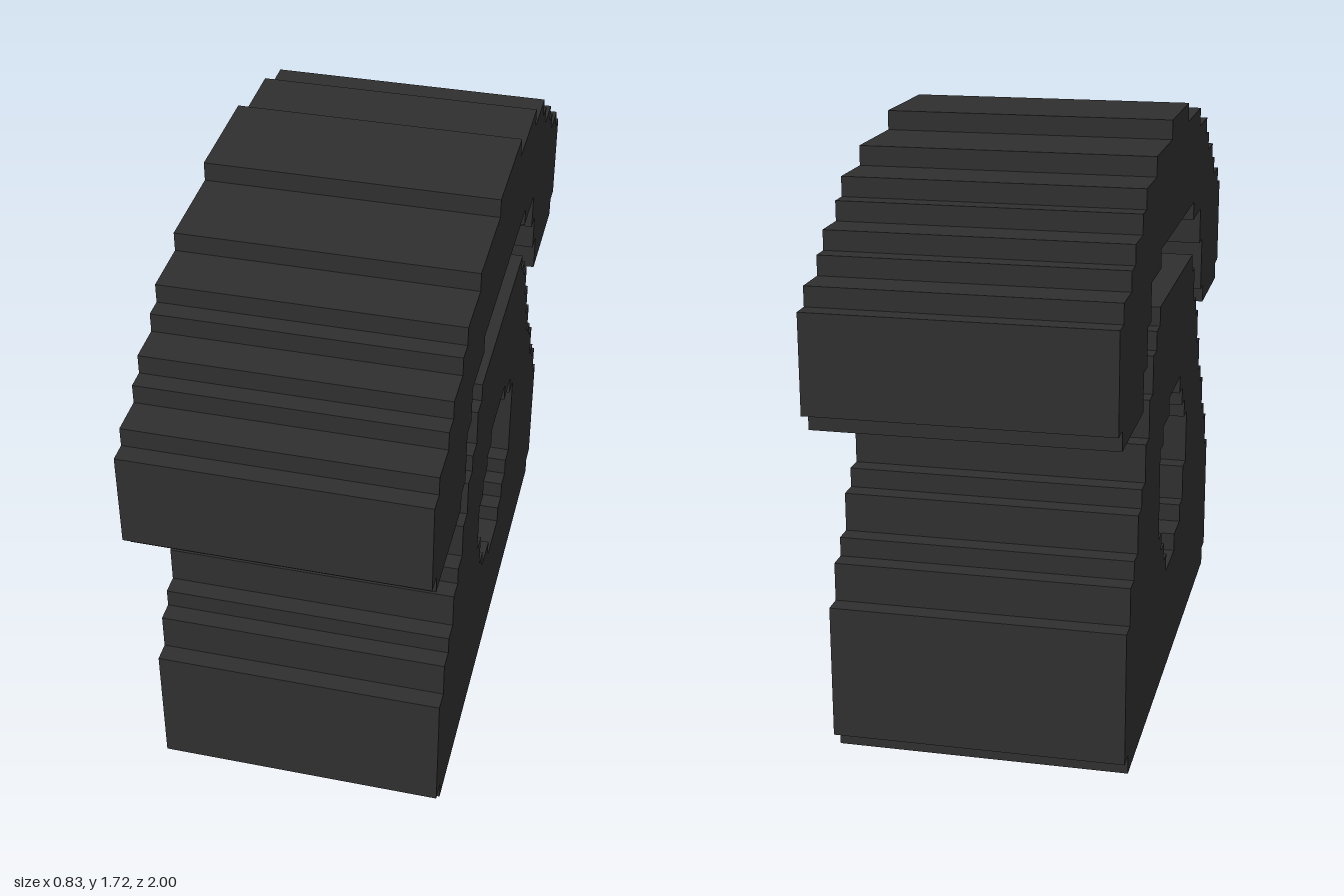
import * as THREE from 'three';

const CELL = 1 / 18;      // size of one stair step
const WIDTH = 15 * CELL;  // thickness of the whole model

// Stepped outline: a start corner, then alternating horizontal and vertical moves to the given grid lines
function staircase(Type, [u0, v0, ...moves]) {
  const path = new Type();
  let u = u0, v = v0;
  path.moveTo(u * CELL - 1, v * CELL);
  moves.forEach((line, i) => {
    if (i % 2) v = line; else u = line;
    path.lineTo(u * CELL - 1, v * CELL);
  });
  path.closePath();
  return path;
}

// Extrude a side profile across the width, turned so the profile runs along z
function slab(name, shape, material) {
  const geometry = new THREE.ExtrudeGeometry(shape, { depth: WIDTH, bevelEnabled: false });
  geometry.translate(0, 0, -WIDTH / 2).rotateY(Math.PI / 2);
  const mesh = new THREE.Mesh(geometry, material);
  mesh.name = name;
  return mesh;
}

export function createModel() {
  const group = new THREE.Group();
  group.name = 'telephone';
  const charcoal = new THREE.MeshStandardMaterial({ color: 0x2f2f2f });
  charcoal.name = 'charcoal';

  // Tapered body with the round dial opening
  const body = staircase(THREE.Shape, [
    4, 0, 32, 1, 33, 8, 32, 10, 31, 11, 30, 13, 29, 14, 28, 16, 27, 18, 26, 20, 25, 21, 24, 22,
    12, 21, 11, 19, 10, 18, 9, 16, 8, 14, 7, 13, 6, 11, 5, 10, 4, 8, 3, 1, 4,
  ]);
  body.holes.push(staircase(THREE.Path, [
    16, 16, 20, 15, 22, 14, 23, 9, 22, 8, 21, 7, 20, 6,
    17, 7, 15, 8, 14, 10, 13, 13, 14, 14, 15, 15, 16,
  ]));
  group.add(slab('body', body, charcoal));

  // Arched handset floating above the body
  const handset = staircase(THREE.Shape, [
    1, 18, 7, 19, 8, 22, 9, 24, 12, 25, 24, 24, 27, 22, 28, 20, 29, 18, 35, 19, 36, 24,
    35, 25, 33, 26, 32, 27, 30, 28, 29, 29, 26, 30, 21, 31,
    15, 30, 10, 29, 7, 28, 6, 27, 4, 26, 3, 25, 1, 24, 0, 19, 1,
  ]);
  group.add(slab('handset', handset, charcoal));

  return group;
}
